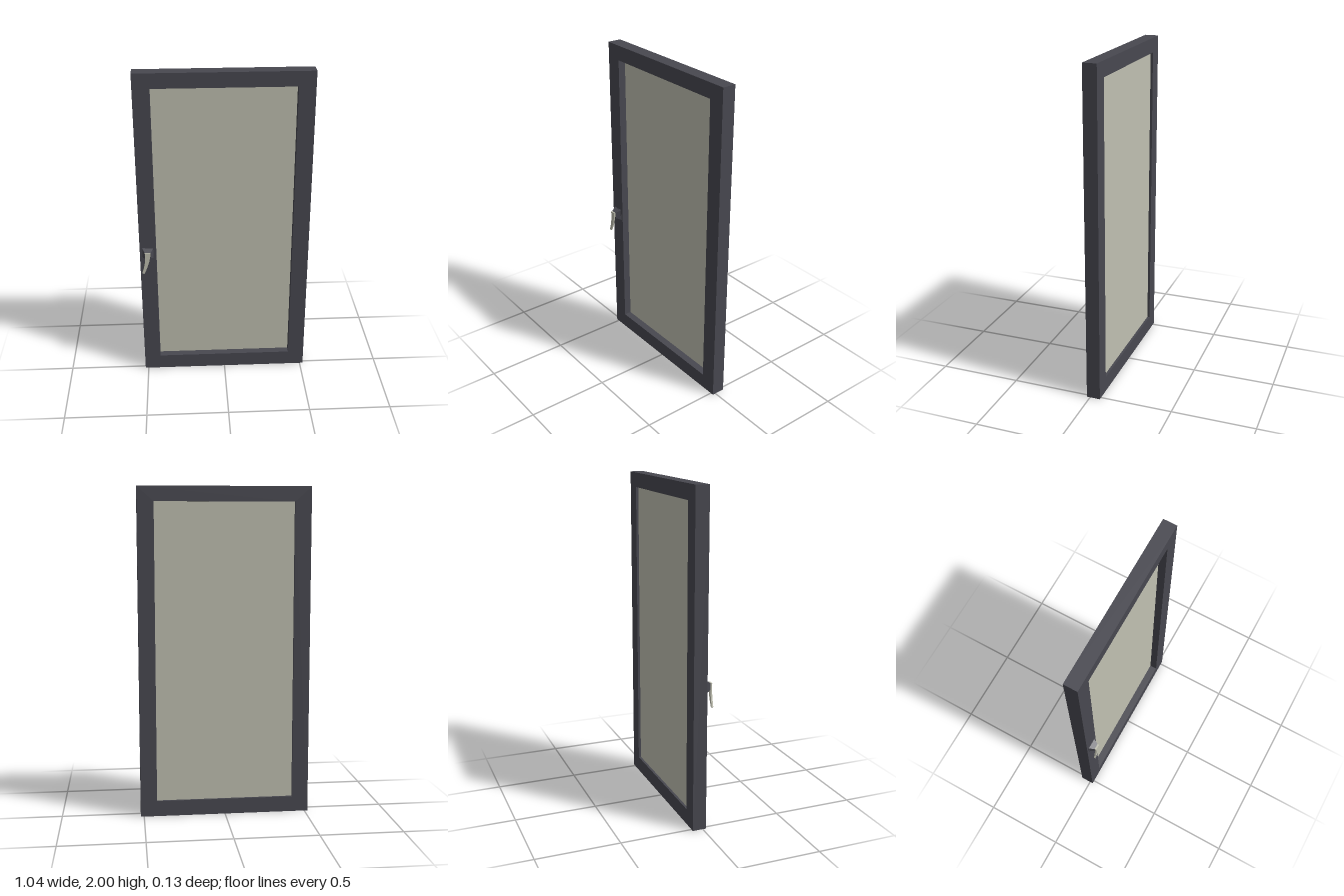
import * as THREE from 'three';

export function createModel() {
  const model = new THREE.Group();
  const frameGrey = new THREE.MeshStandardMaterial({ color: 0x484850 });
  frameGrey.name = 'frame grey';
  const paleGlass = new THREE.MeshStandardMaterial({ color: 0xc0c0b1 });
  paleGlass.name = 'pale glass';

  const add = (name, geometry, material, x = 0, y = 0, z = 0, parent = model) => {
    const mesh = new THREE.Mesh(geometry, material);
    mesh.name = name;
    mesh.position.set(x, y, z);
    parent.add(mesh);
  };
  const polygon = (points) => new THREE.Shape(points.map(([x, y]) => new THREE.Vector2(x, y)));
  const extrude = (shape, depth) =>
    new THREE.ExtrudeGeometry(shape, { depth, bevelEnabled: false, curveSegments: 8 });

  // Window frame: one slab with a rectangular opening
  const outline = polygon([[-0.52, 0], [0.52, 0], [0.52, 2], [-0.52, 2]]);
  outline.holes.push(polygon([[-0.42, 0.095], [-0.42, 1.91], [0.42, 1.91], [0.42, 0.095]]));
  add('frame', extrude(outline, 0.083), frameGrey, 0, 0, -0.063);

  // Pane, set back further from the front than from the rear
  add('pane', new THREE.BoxGeometry(0.84, 1.815, 0.022), paleGlass, 0, 1.0025, -0.037);

  // Handle: mounting plate, tapered boss and flat curved lever
  const handle = new THREE.Group();
  handle.name = 'handle';
  model.add(handle);
  add('handlePlate', new THREE.BoxGeometry(0.07, 0.07, 0.003), frameGrey, -0.47, 0.866, 0.0215, handle);

  const boss = new THREE.CylinderGeometry(0.019 * Math.SQRT2, 0.034 * Math.SQRT2, 0.032, 4, 1);
  boss.rotateY(Math.PI / 4).rotateX(Math.PI / 2);
  const flatBoss = boss.toNonIndexed();
  flatBoss.computeVertexNormals();
  add('handleBoss', flatBoss, frameGrey, -0.47, 0.866, 0.037, handle);

  const lever = new THREE.Shape();
  lever.moveTo(-0.488, 0.885);
  lever.quadraticCurveTo(-0.482, 0.82, -0.508, 0.748);
  lever.lineTo(-0.497, 0.741);
  lever.quadraticCurveTo(-0.46, 0.81, -0.452, 0.885);
  lever.closePath();
  add('lever', extrude(lever, 0.01), paleGlass, 0, 0, 0.053, handle);

  return model;
}
